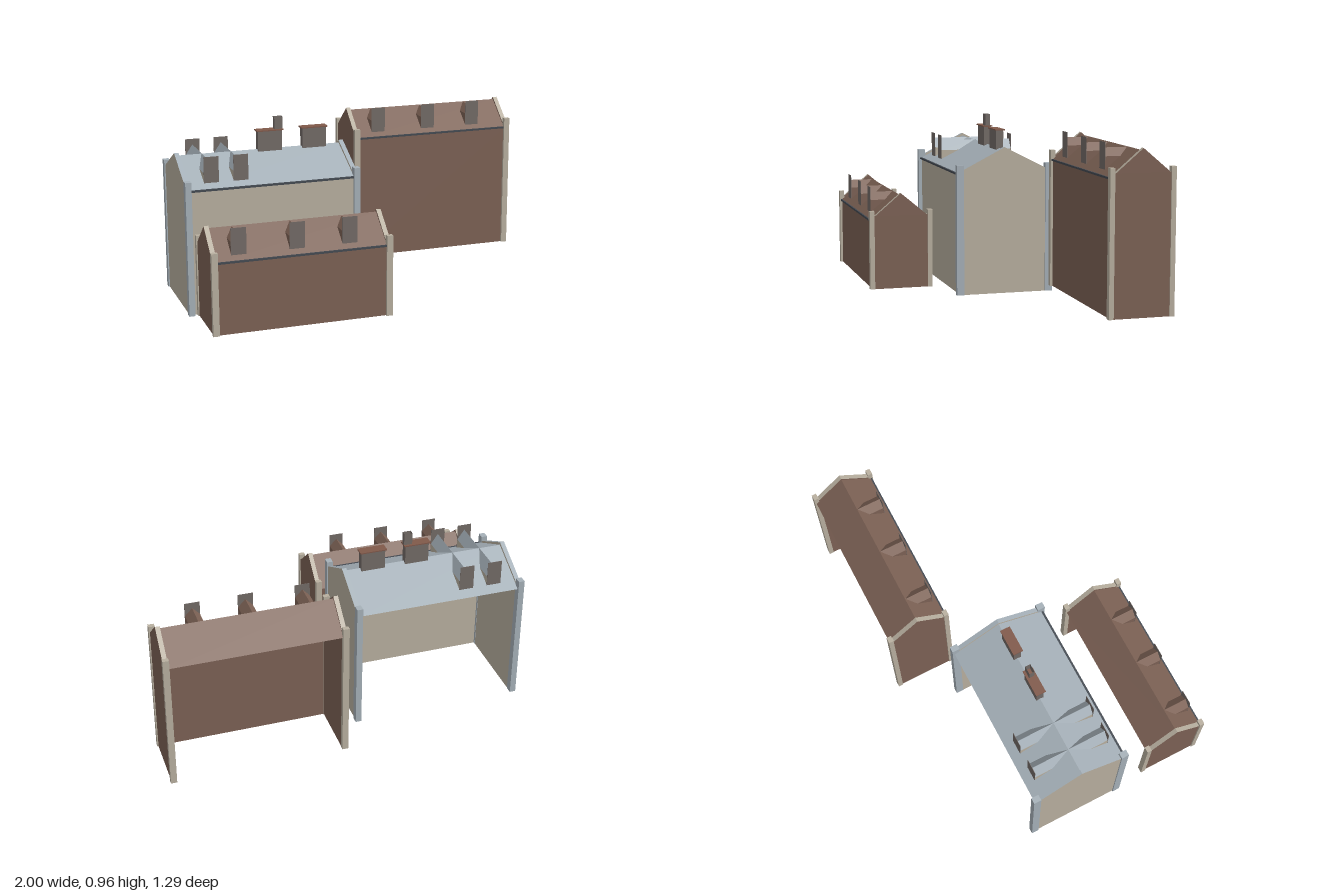
import * as THREE from 'three';

const mat = (name, color) => {
  const m = new THREE.MeshStandardMaterial({ color, side: THREE.DoubleSide });
  m.name = name;
  return m;
};

export function createModel() {
  const brick = mat('brick', 0x7d6255);
  const stone = mat('stone', 0xb9b0a0);
  const slate = mat('slate', 0xa6b1b9);
  const gutterGrey = mat('gutter grey', 0x444a52);
  const windowGrey = mat('window grey', 0x736b67);
  const tile = mat('chimney tile', 0x80594a);

  const model = new THREE.Group();

  const add = (parent, name, geometry, material) => {
    const mesh = new THREE.Mesh(geometry, material);
    mesh.name = name;
    parent.add(mesh);
    return mesh;
  };
  // Box given by its limits on each axis
  const box = (parent, name, material, [x0, x1], [y0, y1], [z0, z1]) => {
    const mesh = add(parent, name, new THREE.BoxGeometry(x1 - x0, y1 - y0, Math.abs(z1 - z0)), material);
    mesh.position.set((x0 + x1) / 2, (y0 + y1) / 2, (z0 + z1) / 2);
  };
  // Flat-shaded quads, four corners each
  const quads = (parent, name, material, list) => {
    const pos = list.flatMap(([a, b, c, d]) => [a, b, c, a, c, d].flat());
    const g = new THREE.BufferGeometry();
    g.setAttribute('position', new THREE.Float32BufferAttribute(pos, 3));
    g.computeVertexNormals();
    add(parent, name, g, material);
  };

  // Gabled dormer with an upright window panel on its face; side +1 is front
  function dormer(parent, o, x, side) {
    const g = new THREE.Group();
    g.name = 'dormer';
    parent.add(g);
    const h = 0.038, zf = o.zc + side * o.dormerOut, zs = o.zc + side * o.dormerShoulder;
    const top = o.dormerRidge, eave = o.dormerEave;
    quads(g, 'dormerRoof', o.roof, [-1, 1].map((s) => {
      const q = [[x, top, zf], [x, top, o.zc], [x + s * h, eave, zs], [x + s * h, eave, zf]];
      return s * side > 0 ? q.reverse() : q;
    }));
    quads(g, 'dormerCheeks', o.wall, [-1, 1].map((s) => {
      const q = [[x + s * h, o.panel[0], zf], [x + s * h, eave, zf],
        [x + s * h, eave, zs], [x + s * h, o.panel[0], zs]];
      return s * side > 0 ? q.reverse() : q;
    }));
    box(g, 'dormerWindow', windowGrey, [x - 0.039, x + 0.039], o.panel, [zf, zf + side * 0.002]);
  }

  // Terrace with front wall, end gables, corner posts, roof and dormers; the rear is open
  function house(name, o) {
    const g = new THREE.Group();
    g.name = name;
    model.add(g);
    const { x0, x1, y0, zc } = o;
    const wallZ = zc + o.wallOut;
    box(g, 'frontWall', o.wall, [x0 + 0.015, x1 - 0.015], [y0, o.roofEave + 0.004], [wallZ - 0.006, wallZ]);
    box(g, 'gutter', gutterGrey, [x0 + 0.03, x1 - 0.03],
      [o.roofEave - 0.006, o.roofEave + 0.004], [wallZ, zc + o.roofOut + 0.003]);

    // Both roof slopes
    const a = x0 + 0.025, b = x1 - 0.025, zf = zc + o.roofOut, zb = zc - o.roofOut;
    quads(g, 'roof', o.roof, [
      [[a, o.roofEave, zf], [b, o.roofEave, zf], [b, o.ridge, zc], [a, o.ridge, zc]],
      [[b, o.roofEave, zb], [a, o.roofEave, zb], [a, o.ridge, zc], [b, o.ridge, zc]],
    ]);

    // End gables: wall faces, trimmed along the edges
    const w = o.wallOut - 0.006;
    const shape = new THREE.Shape([
      [-w, y0], [w, y0], [w, o.gableEave], [o.gableHalf, o.gableEave], [0, o.gablePeak],
      [-o.gableHalf, o.gableEave], [-w, o.gableEave],
    ].map(([u, v]) => new THREE.Vector2(u, v)));
    for (const x of [x0 + 0.006, x1 - 0.03]) {
      const geo = new THREE.ExtrudeGeometry(shape, { depth: 0.024, bevelEnabled: false });
      geo.rotateY(Math.PI / 2);
      add(g, 'gable', geo, [o.wall, o.trim]).position.set(x, 0, zc);
    }

    // Corner posts
    for (const x of [x0, x1 - 0.032])
      for (const s of [1, -1])
        box(g, 'cornerPost', o.trim, [x, x + 0.032], [y0, o.postTop],
          s > 0 ? [zc + o.postIn, zc + o.postOut] : [zc - o.postOut, zc - o.postIn]);

    for (const x of o.dormers) for (const s of o.sides) dormer(g, o, x, s);
    return g;
  }

  // The two brick terraces share one design at different heights
  const brickHouse = (name, x0, x1, zc, ridge, dormers) => house(name, {
    x0, x1, zc, ridge, dormers, y0: 0.06, wall: brick, roof: brick, trim: stone, sides: [1],
    wallOut: 0.157, roofOut: 0.162, roofEave: ridge - 0.132,
    gableEave: ridge - 0.106, gablePeak: ridge + 0.012, gableHalf: 0.14,
    postIn: 0.145, postOut: 0.17, postTop: ridge - 0.08,
    dormerOut: 0.13, dormerShoulder: 0.05, dormerRidge: ridge - 0.002, dormerEave: ridge - 0.042,
    panel: [ridge - 0.108, ridge + 0.028],
  });
  brickHouse('lowBrickTerrace', -0.99, -0.065, 0.478, 0.56, [-0.845, -0.55, -0.28]);
  brickHouse('tallBrickTerrace', 0.065, 1, -0.475, 0.877, [0.215, 0.51, 0.78]);

  // Stone hall with a slate roof
  const hall = house('stoneHall', {
    x0: -1, x1: -0.07, zc: -0.1, ridge: 0.788, dormers: [-0.85, -0.695], y0: 0,
    wall: stone, roof: slate, trim: slate, sides: [1, -1],
    wallOut: 0.25, roofOut: 0.258, roofEave: 0.66,
    gableEave: 0.685, gablePeak: 0.802, gableHalf: 0.23,
    postIn: 0.23, postOut: 0.27, postTop: 0.71,
    dormerOut: 0.207, dormerShoulder: 0.108, dormerRidge: 0.79, dormerEave: 0.735,
    panel: [0.68, 0.82],
  });

  // Chimneys on the hall ridge
  for (const x of [-0.485, -0.242]) {
    box(hall, 'chimneyStack', windowGrey, [x - 0.065, x + 0.065], [0.775, 0.885], [-0.12, -0.08]);
    box(hall, 'chimneyCap', tile, [x - 0.073, x + 0.073], [0.885, 0.891], [-0.127, -0.073]);
  }
  // Open-topped chimney pot
  const pot = new THREE.CylinderGeometry(Math.SQRT1_2, Math.SQRT1_2, 0.065, 4, 1, true)
    .rotateY(Math.PI / 4).scale(0.045, 1, 0.028).toNonIndexed();
  pot.computeVertexNormals();
  add(hall, 'chimneyPot', pot, windowGrey).position.set(-0.436, 0.923, -0.1);

  return model;
}
